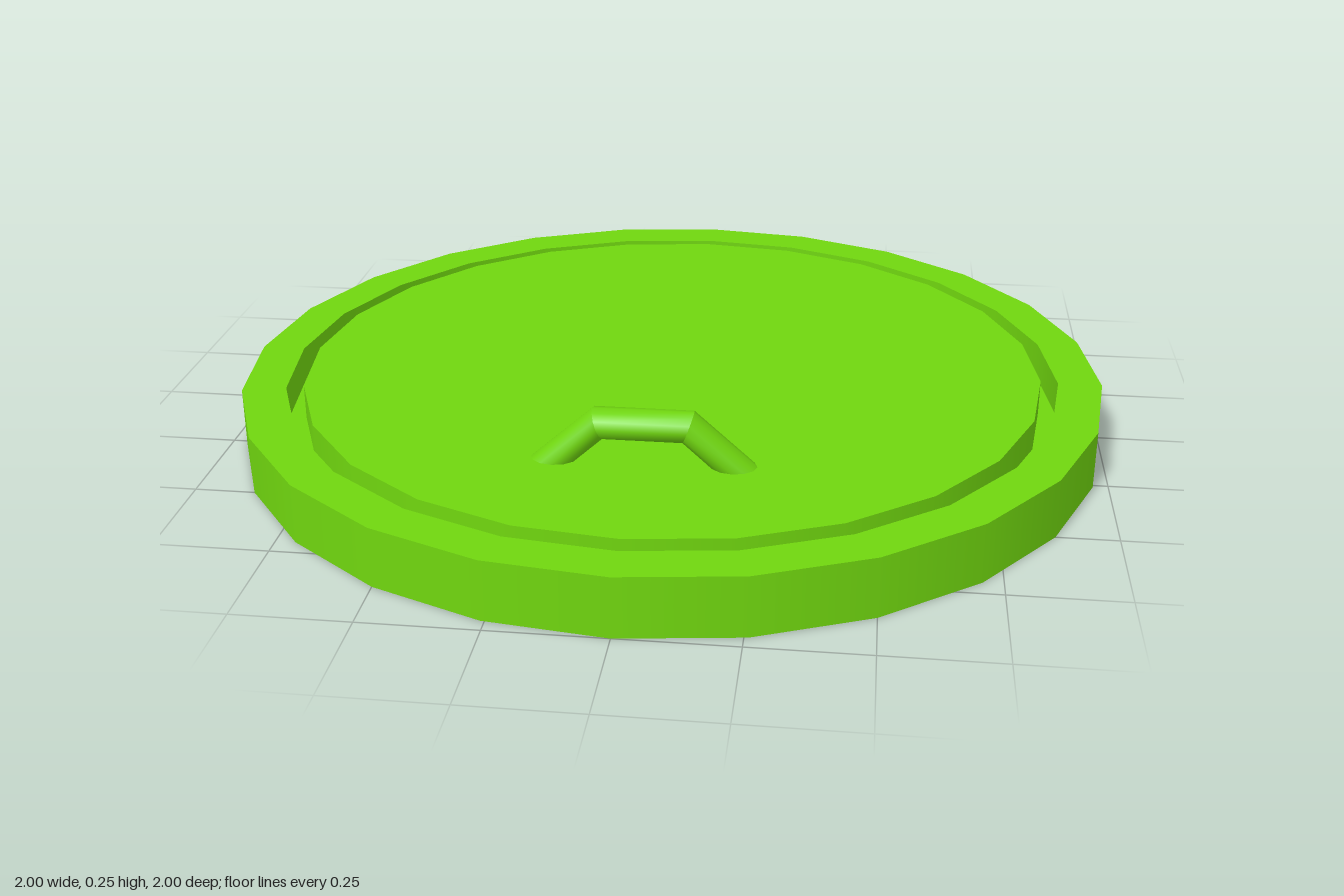
import * as THREE from 'three';
import { mergeGeometries } from 'three/addons/utils/BufferGeometryUtils.js';

const SIDES = 24, TOP = 0.137, HANDLE_Z = 0.52, FOOT_X = 0.19;
const FOOT_RX = 0.05, FOOT_RZ = 0.04, HANDLE_SIDES = 12;

// One conical or flat band per profile step keeps the edges between them sharp.
function bands(profile) {
  const parts = [];
  for (let i = 0; i < profile.length - 1; i++) {
    const pair = [profile[i], profile[i + 1]].map(([r, y]) => new THREE.Vector2(r, y));
    parts.push(new THREE.LatheGeometry(pair, SIDES));
  }
  return mergeGeometries(parts);
}

// Handle section i: centre (x, y) and half vector (u, v) in the xy plane.
function loop({ x, y, u, v }) {
  const points = [];
  for (let i = 0; i < HANDLE_SIDES; i++) {
    const a = (i / HANDLE_SIDES) * Math.PI * 2;
    points.push(x + u * Math.cos(a), y + v * Math.cos(a), HANDLE_Z + FOOT_RZ * Math.sin(a));
  }
  return points;
}

// Smooth tube piece between two mitred sections.
function tubePiece(from, to) {
  const n = HANDLE_SIDES, index = [];
  for (let i = 0; i < n; i++) {
    const j = (i + 1) % n;
    index.push(i, j, n + i, j, n + j, n + i);
  }
  const g = new THREE.BufferGeometry();
  g.setAttribute('position', new THREE.Float32BufferAttribute([...loop(from), ...loop(to)], 3));
  g.setIndex(index);
  g.computeVertexNormals();
  return g;
}

export function createModel() {
  const group = new THREE.Group();
  const material = new THREE.MeshStandardMaterial({ color: 0x70d60f, side: THREE.DoubleSide });
  const add = (name, geometry) => {
    const mesh = new THREE.Mesh(geometry, material);
    mesh.name = name;
    group.add(mesh);
  };

  // Hollow rim: outer wall, top ring, then the groove around the lid
  add('rim', bands([[1, 0], [1, 0.133], [0.9, 0.133]]));
  add('groove', bands([[0.9, 0.133], [0.9, 0.055], [0.86, 0.055], [0.86, TOP]]));

  // Thin lid plate, open under the two feet of the handle
  const plate = new THREE.Shape();
  for (let i = 0; i < SIDES; i++) {
    const a = (i / SIDES) * Math.PI * 2;
    plate[i ? 'lineTo' : 'moveTo'](0.86 * Math.cos(a), 0.86 * Math.sin(a));
  }
  for (const side of [-1, 1]) {
    const hole = new THREE.Path();
    hole.absellipse(side * FOOT_X, -HANDLE_Z, FOOT_RX, FOOT_RZ, 0, Math.PI * 2, true);
    plate.holes.push(hole);
  }
  const plateGeometry = new THREE.ShapeGeometry(plate, HANDLE_SIDES / 2);
  plateGeometry.rotateX(-Math.PI / 2).translate(0, TOP, 0);
  add('lidPlate', plateGeometry);

  // Hollow bent handle: sloping leg, bar, sloping leg
  const sections = [
    { x: -FOOT_X, y: TOP, u: -FOOT_RX, v: 0 },
    { x: -0.095, y: 0.222, u: -0.012, v: 0.033 },
    { x: 0.095, y: 0.222, u: 0.012, v: 0.033 },
    { x: FOOT_X, y: TOP, u: FOOT_RX, v: 0 },
  ];
  const pieces = [0, 1, 2].map((i) => tubePiece(sections[i], sections[i + 1]));
  add('handle', mergeGeometries(pieces));

  return group;
}
